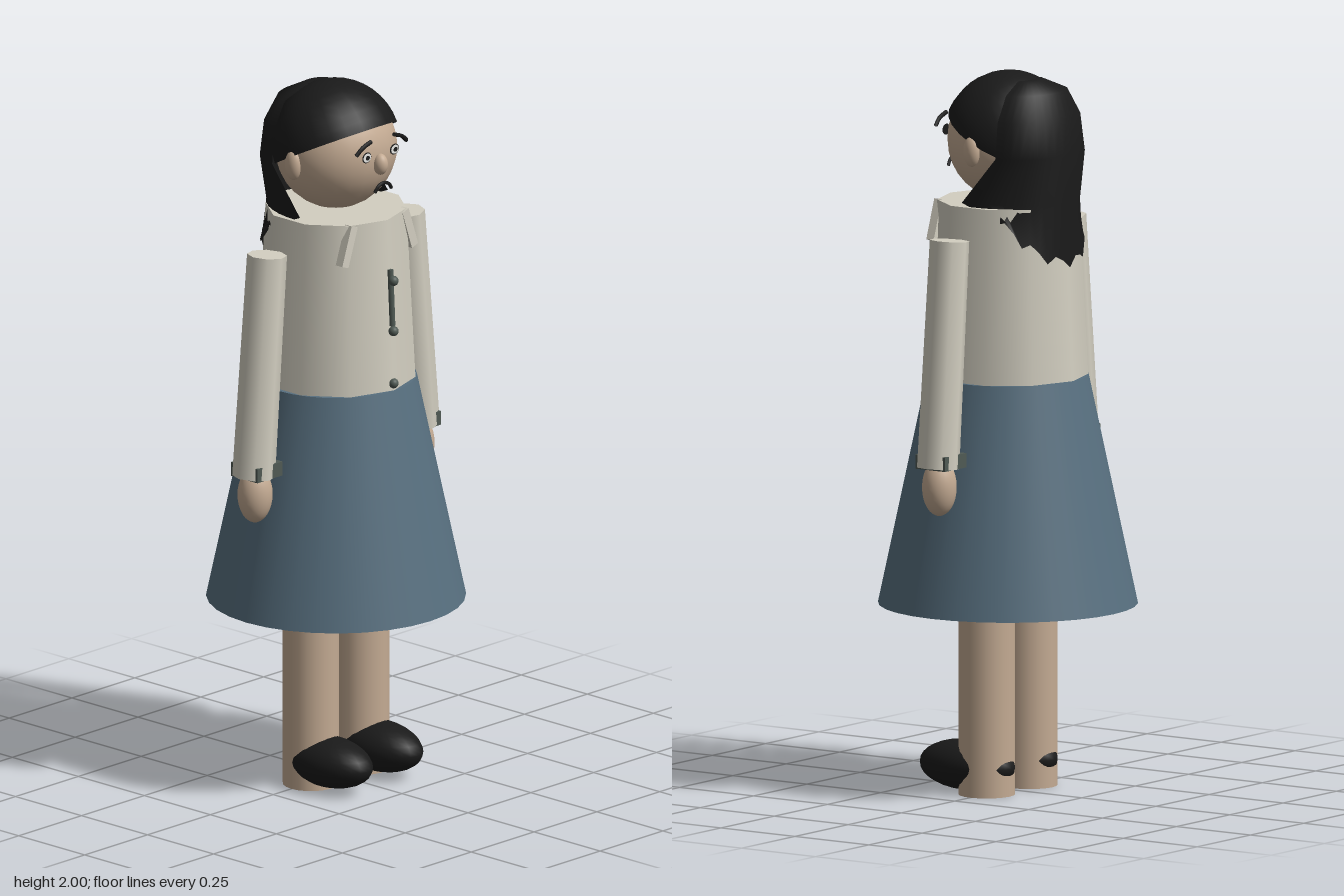
import * as THREE from 'three';

const mat = (name, color, side = THREE.FrontSide) => {
  const m = new THREE.MeshStandardMaterial({ color, side });
  m.name = name;
  return m;
};

export function createModel() {
  const skin = mat('skin', 0xc4ab93);
  const cream = mat('cream cloth', 0xd3cfc1);
  const blue = mat('blue cloth', 0x587080);
  const black = mat('black', 0x1a1a1a, THREE.DoubleSide);
  const trim = mat('dark trim', 0x505a54);
  const white = mat('eye white', 0xf0f0ec);

  const model = new THREE.Group();
  model.name = 'doll';
  const add = (name, geo, material, x = 0, y = 0, z = 0) => {
    const m = new THREE.Mesh(geo, material);
    m.name = name;
    m.position.set(x, y, z);
    model.add(m);
    return m;
  };
  const ball = (name, material, [rx, ry, rz], x, y, z) => {
    const m = add(name, new THREE.SphereGeometry(1, 24, 16), material, x, y, z);
    m.scale.set(rx, ry, rz);
    return m;
  };
  const line = (name, points, radius) => add(name, new THREE.TubeGeometry(
    new THREE.CatmullRomCurve3(points.map(p => new THREE.Vector3(...p))), 12, radius, 6), black);

  // Clothes
  add('skirt', new THREE.CylinderGeometry(0.222, 0.357, 0.635, 32), blue, 0, 0.8375);
  add('blouse', new THREE.CylinderGeometry(0.195, 0.22, 0.485, 10), cream, 0, 1.3975);
  for (const y of [1.175, 1.325, 1.47]) ball('button', trim, [0.014, 0.014, 0.014], 0, y, 0.218);
  const placket = add('placket', new THREE.CylinderGeometry(0.008, 0.008, 0.16, 8), trim, 0, 1.42, 0.21);
  placket.rotation.x = -0.05;

  // Head and face
  ball('head', skin, [0.172, 0.17, 0.165], 0, 1.81, 0);
  ball('nose', skin, [0.02, 0.03, 0.022], 0, 1.795, 0.168);
  line('mouth', [[-0.033, 1.722, 0.178], [-0.02, 1.738, 0.18], [0, 1.744, 0.18],
    [0.02, 1.738, 0.18], [0.033, 1.722, 0.178]], 0.005);

  // Paired parts
  for (const s of [-1, 1]) {
    ball('ear', skin, [0.02, 0.043, 0.025], s * 0.17, 1.795, 0);
    [[0.018, black], [0.015, white], [0.008, black]].forEach(([r, m], i) => {
      const disc = add(['eyeRim', 'eyeWhite', 'pupil'][i], new THREE.CircleGeometry(r, 20), m,
        s * 0.055, 1.826, 0.169 + i * 0.002);
      disc.scale.y = 0.85;
    });
    line('eyebrow', [[s * 0.1, 1.842, 0.172], [s * 0.078, 1.86, 0.175], [s * 0.045, 1.872, 0.176]], 0.006);

    const collar = add('collar', new THREE.BoxGeometry(0.026, 0.115, 0.025), cream, s * 0.12, 1.583, 0.155);
    collar.rotation.z = s * 0.33;

    // The sleeve leans outwards towards the hand
    const sleeve = add('sleeve', new THREE.CylinderGeometry(0.055, 0.059, 0.628, 8), cream, s * 0.301, 1.248);
    sleeve.rotation.z = s * 0.085;
    add('cuff', new THREE.BoxGeometry(0.1, 0.04, 0.1), trim, s * 0.315, 0.954);
    ball('hand', skin, [0.05, 0.08, 0.047], s * 0.322, 0.882, 0);

    add('leg', new THREE.CylinderGeometry(0.078, 0.078, 0.56, 20), skin, s * 0.1, 0.28);
    ball('shoe', black, [0.086, 0.07, 0.15], s * 0.1, 0.077, 0.065);
  }

  // Hair cap: a half sphere tipped backwards
  const cap = add('hairCap', new THREE.SphereGeometry(0.18, 24, 10, 0, Math.PI * 2, 0, Math.PI / 2),
    black, 0, 1.82, 0);
  cap.rotation.x = -0.47;
  cap.scale.z = 0.97;

  // Long hair: half rings behind the head, [y, half width, centre z, depth], ending in ragged points
  const rings = [
    [1.98, 0.05, -0.07, 0.035], [1.95, 0.12, -0.08, 0.085], [1.88, 0.16, -0.08, 0.118],
    [1.78, 0.17, -0.08, 0.132], [1.65, 0.175, 0.03, 0.243], [1.62, 0.165, -0.09, 0.12],
  ];
  const cols = 18, pos = [], idx = [];
  rings.forEach(([y, w, cz, d], r) => {
    for (let c = 0; c <= cols; c++) {
      const a = (c / cols - 0.5) * Math.PI;
      const last = r === rings.length - 1;
      const fall = last ? 0.13 * Math.cos(a) + (c % 3 === 0 ? 0.02 : c % 3 === 1 ? -0.008 : 0) : 0;
      pos.push(-Math.sin(a) * w, y - fall, cz - Math.cos(a) * d);
      if (r && c) {
        const k = r * (cols + 1) + c, up = k - cols - 1;
        idx.push(up - 1, up, k - 1, up, k, k - 1);
      }
    }
  });
  for (let c = 1; c < cols; c++) idx.push(0, c + 1, c);
  const hair = new THREE.BufferGeometry();
  hair.setAttribute('position', new THREE.Float32BufferAttribute(pos, 3));
  // Wind the faces outwards
  for (let i = 0; i < idx.length; i += 3) [idx[i + 1], idx[i + 2]] = [idx[i + 2], idx[i + 1]];
  hair.setIndex(idx);
  hair.computeVertexNormals();
  add('longHair', hair, black);

  return model;
}
